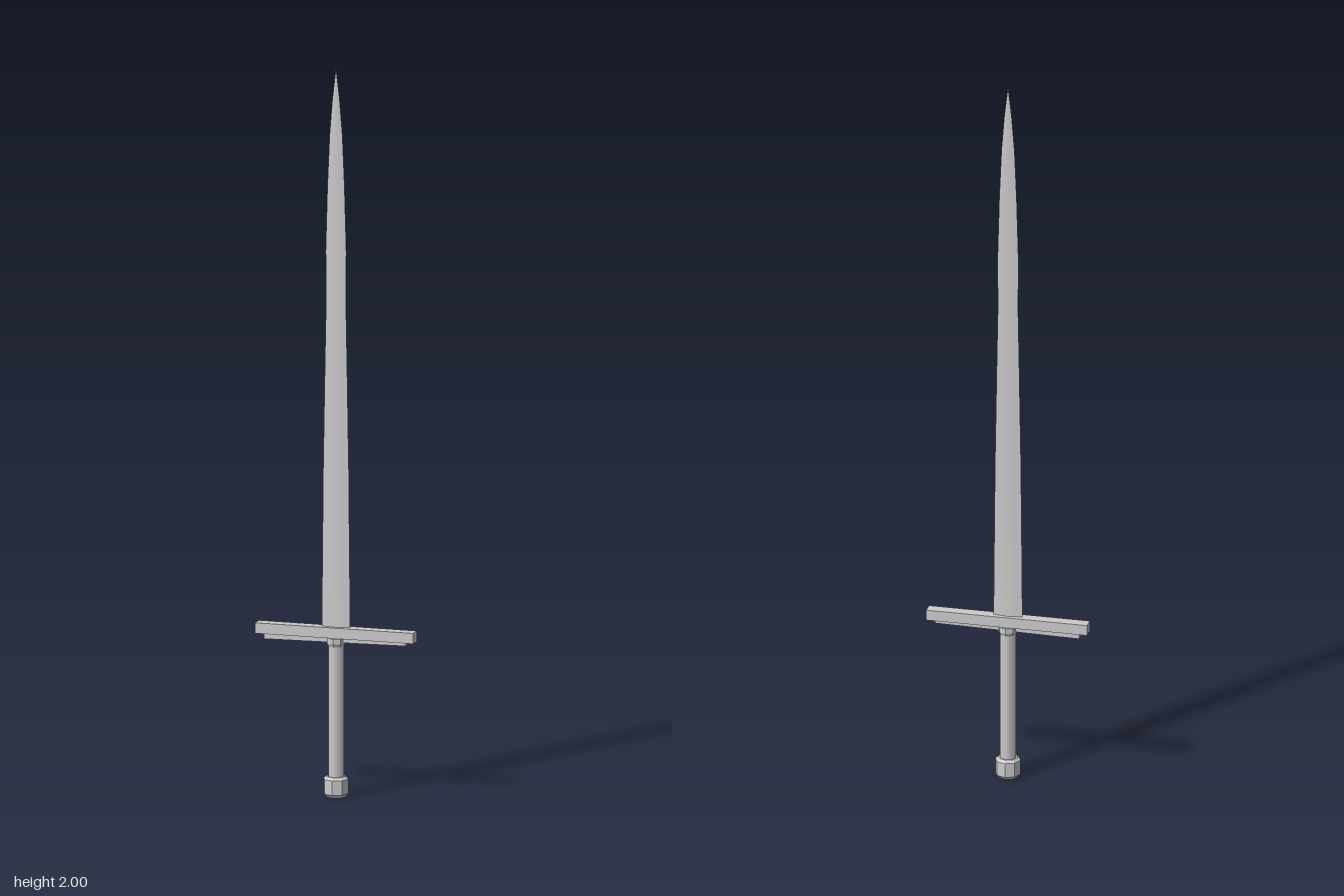
import * as THREE from 'three';

const smooth = new THREE.MeshStandardMaterial({ color: 0xcccccc });
const flat = new THREE.MeshStandardMaterial({ color: 0xcccccc, flatShading: true });

function add(group, name, geometry, material, y = 0) {
  const mesh = new THREE.Mesh(geometry, material);
  mesh.name = name;
  mesh.position.y = y;
  group.add(mesh);
  return mesh;
}

// One face of the blade, lofted through [y, half width, half thickness] sections
function bladeSide(sections, side) {
  const across = [-1, -0.5, 0, 0.5, 1];
  const n = across.length;
  const positions = [];
  const index = [];
  for (const [y, w, t] of sections) {
    for (const u of across) positions.push(u * w * side, y, side * t * (1 - Math.abs(u)));
  }
  for (let r = 0; r < sections.length - 1; r++) {
    for (let c = 0; c < n - 1; c++) {
      const a = r * n + c;
      index.push(a, a + 1, a + n, a + 1, a + n + 1, a + n);
    }
  }
  const geometry = new THREE.BufferGeometry();
  geometry.setAttribute('position', new THREE.Float32BufferAttribute(positions, 3));
  geometry.setIndex(index);
  geometry.computeVertexNormals();
  return geometry;
}

// Eight-sided turned part with a corner facing forward
function turned(profile) {
  return new THREE.LatheGeometry(profile.map(([r, y]) => new THREE.Vector2(r, y)), 8);
}

export function createModel() {
  const sword = new THREE.Group();
  sword.name = 'sword';

  // Blade: slim diamond section, slightly waisted, tapering to a point
  const sections = [
    [0.46, 0.04, 0.006], [0.58, 0.039, 0.004], [0.9, 0.036, 0.004],
    [1.2, 0.031, 0.004], [1.36, 0.028, 0.004], [1.5, 0.029, 0.004],
    [1.68, 0.024, 0.004], [1.82, 0.018, 0.003], [1.92, 0.01, 0.002], [2, 0.0005, 0.0005],
  ];
  const blade = new THREE.Group();
  blade.name = 'blade';
  add(blade, 'bladeFront', bladeSide(sections, 1), smooth);
  add(blade, 'bladeBack', bladeSide(sections, -1), smooth);
  sword.add(blade);

  // Crossguard with a narrower strip beneath it
  add(sword, 'crossguard', new THREE.BoxGeometry(0.446, 0.029, 0.034), flat, 0.4525);
  const strip = new THREE.BoxGeometry(0.4, 0.014, 0.02);
  const p = strip.attributes.position;
  for (let i = 0; i < p.count; i++) {
    if (p.getY(i) < 0) p.setY(i, p.getY(i) + p.getX(i) * 0.015);
  }
  add(sword, 'guardStrip', strip, flat, 0.433);

  // Collar, grip and pommel
  add(sword, 'collar', turned([[0.021, 0.412], [0.027, 0.424], [0.027, 0.438], [0, 0.438]]), flat);
  add(sword, 'grip', new THREE.CylinderGeometry(0.0225, 0.0225, 0.38, 8, 1, true), smooth, 0.235);
  add(sword, 'pommel', turned([
    [0, 0], [0.026, 0], [0.035, 0.01], [0.035, 0.05], [0.027, 0.057], [0, 0.057],
  ]), flat);

  return sword;
}
